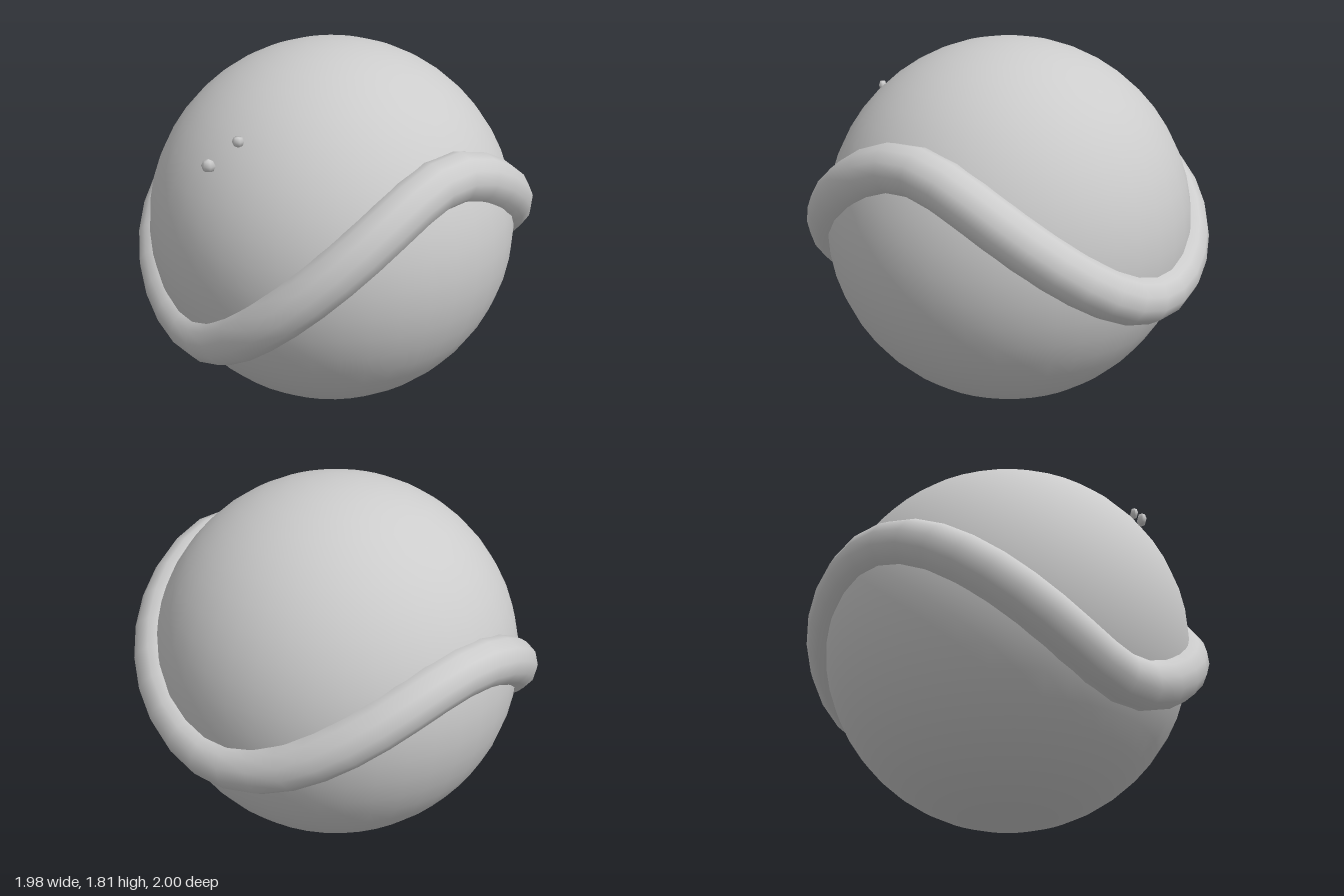
import * as THREE from 'three';

const R = 0.904; // ball radius, also the height of its centre

// Closed wave that runs round the ball at a constant distance from its centre
class WaveCurve extends THREE.Curve {
  getPoint(t, target = new THREE.Vector3()) {
    const a = t * Math.PI * 2;
    const h = 0.0075 + 0.138 * Math.sin(a) + 0.3175 * Math.sin(2 * a);
    const r = Math.sqrt(0.88 * 0.88 - h * h);
    return target.set(r * Math.sin(a), R + h, r * Math.cos(a));
  }
}

export function createModel() {
  const group = new THREE.Group();
  const grey = new THREE.MeshStandardMaterial({ color: 0xcccccc });
  grey.name = 'light grey';

  const add = (name, geometry) => {
    const mesh = new THREE.Mesh(geometry, grey);
    mesh.name = name;
    group.add(mesh);
    return mesh;
  };

  // Ball
  add('ball', new THREE.SphereGeometry(R, 40, 24)).position.y = R;

  // Wavy ring wrapped round the ball
  add('wavyBand', new THREE.TubeGeometry(new WaveCurve(), 40, 0.121, 12, true));

  // Two small pebbles just off the upper front, one pointing up and one down
  const pebbles = [
    ['lowerPebble', -0.483, 1.397, 0.625, 0.033, 1],
    ['upperPebble', -0.348, 1.513, 0.612, 0.028, -1],
  ];
  for (const [name, x, y, z, r, up] of pebbles) {
    const geometry = new THREE.SphereGeometry(r, 6, 4);
    const pos = geometry.attributes.position;
    for (let i = 0; i < pos.count; i++) {
      // Blunt the end away from the point
      const py = pos.getY(i) * up;
      pos.setY(i, Math.max(py, -0.75 * r) * up);
    }
    geometry.computeVertexNormals();
    const pebble = add(name, geometry);
    pebble.position.set(x, y, z);
    pebble.scale.z = 0.75;
  }

  return group;
}
